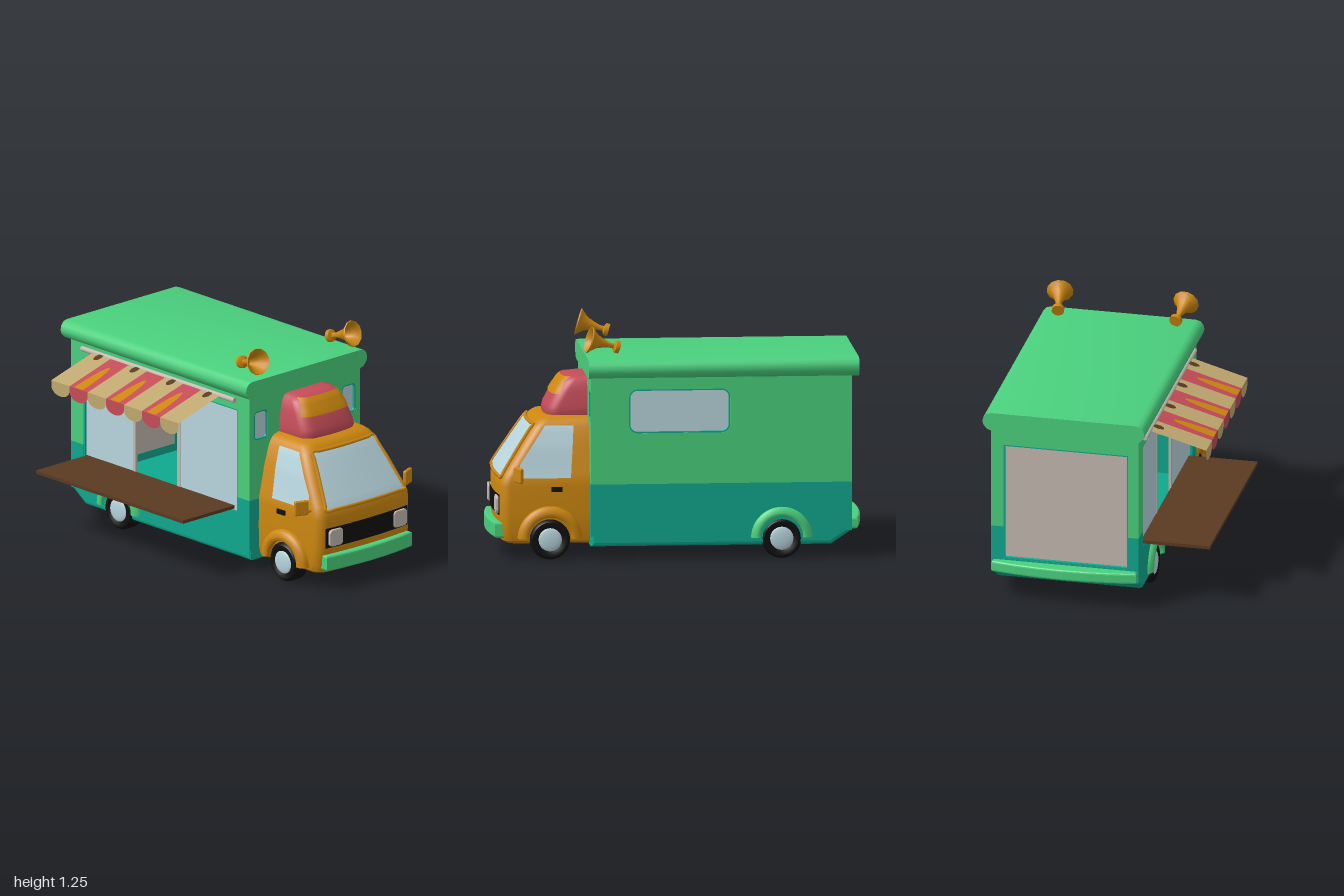
import * as THREE from 'three';
import { toCreasedNormals } from 'three/addons/utils/BufferGeometryUtils.js';
import { RoundedBoxGeometry } from 'three/addons/geometries/RoundedBoxGeometry.js';

const mat = (name, color) => new THREE.MeshStandardMaterial({ name, color, side: THREE.DoubleSide });
const green = mat('green', 0x4ad07d), teal = mat('teal', 0x0fa88e), orange = mat('orange', 0xcc870f);
const red = mat('red', 0xc44c58), tan = mat('tan', 0xc0a86f), brown = mat('brown', 0x5a3a22);
const black = mat('black', 0x101010), glass = mat('glass', 0xb8d6de), pale = mat('pale grey', 0xc4bab0);

const van = new THREE.Group();
function add(name, geo, material, x = 0, y = 0, z = 0) {
  const m = new THREE.Mesh(geo, material);
  m.name = name;
  m.position.set(x, y, z);
  van.add(m);
  return m;
}
const poly = (pts) => new THREE.Shape(pts.map(([x, y]) => new THREE.Vector2(x, y)));
const rect = (a, b, c, d) => poly([[a, c], [b, c], [b, d], [a, d]]);
// Rounded rectangle from x a..b and y c..d
function rounded(a, b, c, d, r) {
  const s = new THREE.Shape();
  s.absarc(b - r, c + r, r, -Math.PI / 2, 0);
  s.absarc(b - r, d - r, r, 0, Math.PI / 2);
  s.absarc(a + r, d - r, r, Math.PI / 2, Math.PI);
  s.absarc(a + r, c + r, r, Math.PI, Math.PI * 1.5);
  return s;
}
// Rectangle with a notch c..d cut from edge y1 to yn
const notched = (a, b, y0, y1, c, d, yn) =>
  poly([[a, y0], [b, y0], [b, y1], [d, y1], [d, yn], [c, yn], [c, y1], [a, y1]]);
const extrude = (shape, depth, bevel = 0) => new THREE.ExtrudeGeometry(shape, {
  depth, bevelEnabled: bevel > 0, bevelSize: bevel, bevelThickness: bevel, bevelOffset: -bevel, bevelSegments: 3, curveSegments: 6,
});
// Shape drawn in (z, y), thickness running towards -x
const sideways = (shape, depth, bevel) => extrude(shape, depth, bevel).rotateY(-Math.PI / 2);

// Surface from a rule over u, v in 0..1
function grid(nu, nv, fn) {
  const pos = [], idx = [];
  for (let j = 0; j <= nv; j++) for (let i = 0; i <= nu; i++) {
    pos.push(...fn(i / nu, j / nv));
    if (i < nu && j < nv) {
      const a = j * (nu + 1) + i, b = a + 1, c = b + nu + 1, d = a + nu + 1;
      idx.push(a, b, c, a, c, d);
    }
  }
  const g = new THREE.BufferGeometry();
  g.setAttribute('position', new THREE.Float32BufferAttribute(pos, 3));
  g.setIndex(idx);
  g.computeVertexNormals();
  return g;
}
// Levels are [y, front z, half width]
function at(levels, y, k) {
  let i = 0;
  while (i < levels.length - 2 && levels[i + 1][0] < y) i++;
  const [p, q] = [levels[i], levels[i + 1]];
  return THREE.MathUtils.lerp(p[k], q[k], (y - p[0]) / (q[0] - p[0]));
}
function frontZ(zf, hw, x, r) {
  const e = Math.min(r, Math.max(0, Math.abs(x) - hw + r));
  return zf - 0.02 * (x / hw) ** 2 - (r - Math.sqrt(r * r - e * e));
}
// Rounded-front shell stacked from levels, flat at the back
function loft(levels, r, back) {
  const N = 32, n = N + 3, pos = [], idx = [];
  levels.forEach(([y, zf, hw], j) => {
    for (let i = 0; i <= N; i++) {
      const x = hw * Math.sin((i / N - 0.5) * Math.PI);
      pos.push(x, y, frontZ(zf, hw, x, r));
    }
    pos.push(hw, y, back, -hw, y, back);
    if (j) for (let i = 0; i < n; i++) {
      const a = (j - 1) * n + i, b = (j - 1) * n + (i + 1) % n;
      idx.push(a, b, b + n, a, b + n, a + n);
    }
  });
  const top = levels.length * n, last = levels.length - 1;
  pos.push(0, levels[last][0], back + 0.08, 0, levels[0][0], back + 0.08);
  for (let i = 0; i < n; i++) {
    const k = (i + 1) % n;
    idx.push(top, last * n + i, last * n + k, top + 1, k, i);
  }
  const g = new THREE.BufferGeometry();
  g.setAttribute('position', new THREE.Float32BufferAttribute(pos, 3));
  g.setIndex(idx);
  return toCreasedNormals(g, 0.7);
}
// Point on the front of a shell, lifted slightly
const onFront = (levels, r, y0, y1, w0, w1, lift) => (u, v) => {
  const y = THREE.MathUtils.lerp(y0, y1, v), x = (u * 2 - 1) * THREE.MathUtils.lerp(w0, w1, v);
  return [x, y + lift * 0.5, frontZ(at(levels, y, 1), at(levels, y, 2), x, r) + lift];
};

function buildBody() {
  const W = 0.4025, B = -0.93, F = 0.464, T = 0.03, mid = 0.41, lo = 0.13, hi = 0.985;
  // Underbody with a sloped tail
  add('underbody', sideways(poly([[F, 0.075], [-0.82, 0.075], [B, 0.15], [B, 0.19], [F, 0.19]]), 2 * W - 0.04, 0.02), teal, W - 0.02);
  // Side wall with window
  add('sideWallLower', sideways(rect(B, F, 0.15, mid), T), teal, W);
  const upper = rect(B, F, mid, hi);
  upper.holes.push(rounded(-0.28, 0.26, 0.683, 0.918, 0.045));
  add('sideWallUpper', sideways(upper, T), green, W);
  // Serving side wall
  add('servingWallLower', sideways(notched(B, F, 0.15, mid, -0.83, 0.37, 0.32), T), teal, T - W);
  add('servingWallUpper', sideways(notched(B, F, hi, mid, -0.83, 0.37, 0.9), T), green, T - W);
  // Front and rear walls
  add('frontWallLower', extrude(rect(-W, W, lo, mid), T), teal, 0, 0, F - T);
  const front = rect(-W, W, mid, hi);
  for (const s of [-1, 1]) front.holes.push(rounded(s * 0.32 - 0.05, s * 0.32 + 0.05, 0.738, 0.9, 0.025));
  add('frontWallUpper', extrude(front, T), green, 0, 0, F - T);
  add('rearWallLower', extrude(notched(-W, W, 0.15, mid, -0.345, 0.335, 0.225), T), teal, 0, 0, B);
  add('rearWallUpper', extrude(notched(-W, W, hi, mid, -0.345, 0.335, 0.885), T), green, 0, 0, B);
  // Teal liners and recessed panes
  const liner = (a, b, c, d, r) => {
    const s = rounded(a, b, c, d, r), k = 0.007;
    s.holes.push(rounded(a + k, b - k, c + k, d - k, Math.max(r - k, 0.001)));
    return s;
  };
  add('sideWindowFrame', sideways(liner(-0.28, 0.26, 0.683, 0.918, 0.045), 0.026), teal, W - 0.002);
  add('sideWindow', sideways(rounded(-0.28, 0.26, 0.683, 0.918, 0.045), 0.006), glass, W - 0.02);
  for (const s of [-1, 1]) {
    const box = [s * 0.32 - 0.05, s * 0.32 + 0.05, 0.738, 0.9, 0.025];
    add('frontWindowFrame', extrude(liner(...box), 0.026), teal, 0, 0, F - 0.028);
    add('frontWindow', extrude(rounded(...box), 0.006), glass, 0, 0, F - 0.022);
  }
  add('rearDoorFrame', extrude(liner(-0.345, 0.335, 0.225, 0.885, 0.002), 0.028), teal, 0, 0, B + 0.002);
  add('rearDoor', extrude(rect(-0.345, 0.335, 0.225, 0.885), 0.008), pale, 0, 0, B + 0.02);
  add('servingFrame', sideways(liner(-0.83, 0.37, 0.32, 0.9, 0.002), 0.028), teal, 0.03 - W);
  add('rearServingPane', sideways(rect(-0.823, -0.45, 0.327, 0.893), 0.006), glass, 0.02 - W);
  add('frontServingPane', sideways(rect(-0.09, 0.363, 0.327, 0.893), 0.006), glass, 0.02 - W);
  for (const z of [-0.445, -0.1]) add('paneEdge', new THREE.BoxGeometry(0.014, 0.566, 0.022), pale, 0.016 - W, 0.61, z);
  // Roof slab with rounded long edges
  const half = [[0.39, 0.977], [0.415, 0.985], [0.436, 1.008], [0.442, 1.03], [0.436, 1.055], [0.42, 1.073], [0.395, 1.08]];
  const roof = poly([...half, ...half.map(([x, y]) => [-x, y]).reverse()]);
  add('roof', toCreasedNormals(extrude(roof, 1.445), 0.7), green, 0, 0, -0.968);
}

function buildCab() {
  const levels = [[0.085, 0.915, 0.305], [0.1, 0.94, 0.325], [0.14, 0.952, 0.334], [0.25, 0.957, 0.337], [0.39, 0.957, 0.336],
    [0.425, 0.952, 0.334], [0.46, 0.935, 0.325], [0.6, 0.845, 0.294], [0.7, 0.78, 0.262], [0.73, 0.755, 0.244], [0.747, 0.73, 0.222], [0.755, 0.69, 0.19]];
  add('cab', loft(levels, 0.05, 0.45), orange);
  // Windscreen and its trim
  const screen = onFront(levels, 0.05, 0.437, 0.712, 0.288, 0.222, 0.005);
  add('windscreen', grid(24, 12, screen), glass);
  const rim = [];
  for (let e = 0; e < 4; e++) for (let i = 0; i < 10; i++) {
    const t = i / 10, [u, v] = [[t, 0], [1, t], [1 - t, 1], [0, 1 - t]][e];
    rim.push(new THREE.Vector3(...screen(u, v)));
  }
  add('windscreenTrim', new THREE.TubeGeometry(new THREE.CatmullRomCurve3(rim, true), 100, 0.01, 6, true), orange);
  // Grille, headlights and bumper
  add('grille', grid(24, 4, onFront(levels, 0.05, 0.234, 0.345, 0.298, 0.298, 0.004)), black);
  for (const s of [-1, 1]) {
    add('headlight', extrude(rounded(-0.048, 0.048, -0.047, 0.047, 0.022), 0.02, 0.005), pale, s * 0.233, 0.29, 0.938);
    // Door window, handle and mirror
    add('doorWindow', grid(6, 14, (u, v) => {
      const y = 0.437 + v * 0.273, zf = 0.838 - 0.14 * Math.max(0, (v - 0.26) / 0.74), zb = 0.565 - 0.02 * v;
      return [s * (at(levels, y, 2) + 0.004), y, zb + (zf - zb) * u];
    }), glass);
    add('doorHandle', new THREE.BoxGeometry(0.016, 0.026, 0.06), black, s * 0.337, 0.378, 0.64);
    add('mirrorArm', new THREE.CylinderGeometry(0.009, 0.009, 0.07, 8).rotateZ(Math.PI / 2), orange, s * 0.345, 0.437, 0.86);
    const turn = s * 0.4;
    add('mirror', new RoundedBoxGeometry(0.08, 0.082, 0.022, 2, 0.008), orange, s * 0.387, 0.462, 0.85).rotation.y = turn;
    add('mirrorGlass', new THREE.BoxGeometry(0.062, 0.064, 0.004).translate(0, 0, -0.012), glass, s * 0.387, 0.462, 0.85).rotation.y = turn;
  }
  // Roof pod with orange front
  const pod = [[0.735, 0.685, 0.182], [0.765, 0.695, 0.19], [0.8, 0.687, 0.187], [0.88, 0.645, 0.176], [0.93, 0.612, 0.163], [0.952, 0.59, 0.148], [0.96, 0.555, 0.12]];
  add('roofPod', loft(pod, 0.06, 0.45), red);
  add('roofPodPanel', grid(24, 8, onFront(pod, 0.06, 0.862, 0.952, 0.172, 0.138, 0.005)), orange);
}

function buildBumper(name, hw, zBack, zEnd, zMid, yTop, h) {
  const s = new THREE.Shape();
  s.moveTo(-hw, zBack);
  s.lineTo(-hw, zEnd);
  s.quadraticCurveTo(0, 2 * zMid - zEnd, hw, zEnd);
  s.lineTo(hw, zBack);
  add(name, extrude(s, h - 0.024, 0.012).rotateX(Math.PI / 2), green, 0, yTop - 0.012, 0);
}

function buildWheels() {
  const lathe = (pts, n, ...phi) => toCreasedNormals(new THREE.LatheGeometry(pts.map(([x, y]) => new THREE.Vector2(x, y)), n, ...phi), 0.8);
  for (const s of [-1, 1]) for (const [z, cx, base, lip, r, m] of [[0.678, 0.315, 0.325, 0.378, 0.172, orange], [-0.555, 0.363, 0.395, 0.43, 0.165, green]]) {
    const turn = -s * Math.PI / 2;
    add('tyre', lathe([[0.001, -0.05], [0.093, -0.05], [0.107, -0.034], [0.107, 0.034], [0.093, 0.05], [0.068, 0.05], [0.06, 0.042], [0.001, 0.042]], 28).rotateZ(turn), black, s * cx, 0.11, z);
    add('hub', new THREE.SphereGeometry(0.064, 20, 10).scale(1, 0.2, 1).rotateZ(turn), glass, s * (cx + 0.043), 0.11, z);
    const arch = [[0.115, base - 0.03], [0.115, lip - 0.006], [0.122, lip], [r - 0.03, lip], [r - 0.008, lip - 0.012], [r, lip - 0.03], [r, base - 0.03]];
    add('wheelArch', lathe(arch, 24, s > 0 ? Math.PI : 0, Math.PI).rotateZ(turn), m, 0, 0.115, z);
  }
}

function buildHorns() {
  const profile = [[0.001, 0], [0.034, 0], [0.034, 0.022], [0.014, 0.03], [0.014, 0.055], [0.024, 0.09], [0.037, 0.125], [0.058, 0.152], [0.072, 0.165], [0.07, 0.172], [0.054, 0.158], [0.03, 0.12], [0.012, 0.07], [0.001, 0.07]];
  for (const s of [-1, 1]) {
    const g = new THREE.LatheGeometry(profile.map(([x, y]) => new THREE.Vector2(x, y)), 12);
    const horn = add('horn', toCreasedNormals(g, 0.7), orange, s * 0.32, 1.135, 0.308);
    horn.quaternion.setFromUnitVectors(new THREE.Vector3(0, 1, 0), new THREE.Vector3(s * 0.025, 0.047, 0.165).normalize());
  }
}

function buildServingSide() {
  add('counter', new THREE.BoxGeometry(0.375, 0.018, 1.148), brown, -0.5775, 0.343, -0.241);
  add('awningRoller', new THREE.CylinderGeometry(0.014, 0.014, 1.19, 10).rotateX(Math.PI / 2), pale, -0.415, 0.953, -0.235);
  // Flat shapes in (z, t): t runs down the slope, or down the valance
  const lay = (name, shape, m, rule) => {
    const g = new THREE.ShapeGeometry(shape, 10), p = g.attributes.position;
    for (let i = 0; i < p.count; i++) p.setXYZ(i, ...rule(p.getX(i), p.getY(i)));
    g.computeVertexNormals();
    add(name, g, m);
  };
  const slope = (lift) => (z, t) => [-0.42 - 0.307 * t, 0.957 - 0.087 * t + lift, z];
  const drop = (z, t) => [-0.727, 0.87 - t, z];
  const w = 0.1414;
  for (let i = 0; i < 7; i++) {
    const z0 = -0.735 + i * w, zc = z0 + w / 2, m = i % 2 ? red : tan;
    lay('awningStripe', rect(z0, z0 + w, 0, 1), m, slope(0));
    const flap = new THREE.Shape();
    flap.moveTo(z0, 0);
    flap.lineTo(z0, 0.03);
    flap.absellipse(zc, 0.03, w / 2, 0.045, Math.PI, 0, true);
    flap.lineTo(z0 + w, 0);
    lay('awningScallop', flap, m, drop);
    const mark = new THREE.Shape();
    if (i % 2) mark.absellipse(zc, 1, 0.034, 0.74, Math.PI, Math.PI * 2);
    else mark.absellipse(zc, 0.1, 0.022, 0.1, 0, Math.PI * 2);
    lay('awningMark', mark, i % 2 ? orange : brown, slope(0.004));
  }
}

export function createModel() {
  van.clear();
  buildBody();
  buildCab();
  buildBumper('frontBumper', 0.31, 0.9, 0.968, 0.995, 0.2, 0.085);
  buildBumper('rearBumper', 0.395, -0.9, -0.962, -1, 0.217, 0.062);
  buildWheels();
  buildHorns();
  buildServingSide();
  // The serving shelf offsets the vehicle from the centre line
  van.position.x = 0.16;
  const model = new THREE.Group();
  model.name = 'foodTruck';
  model.add(van);
  van.name = 'vehicle';
  return model;
}
